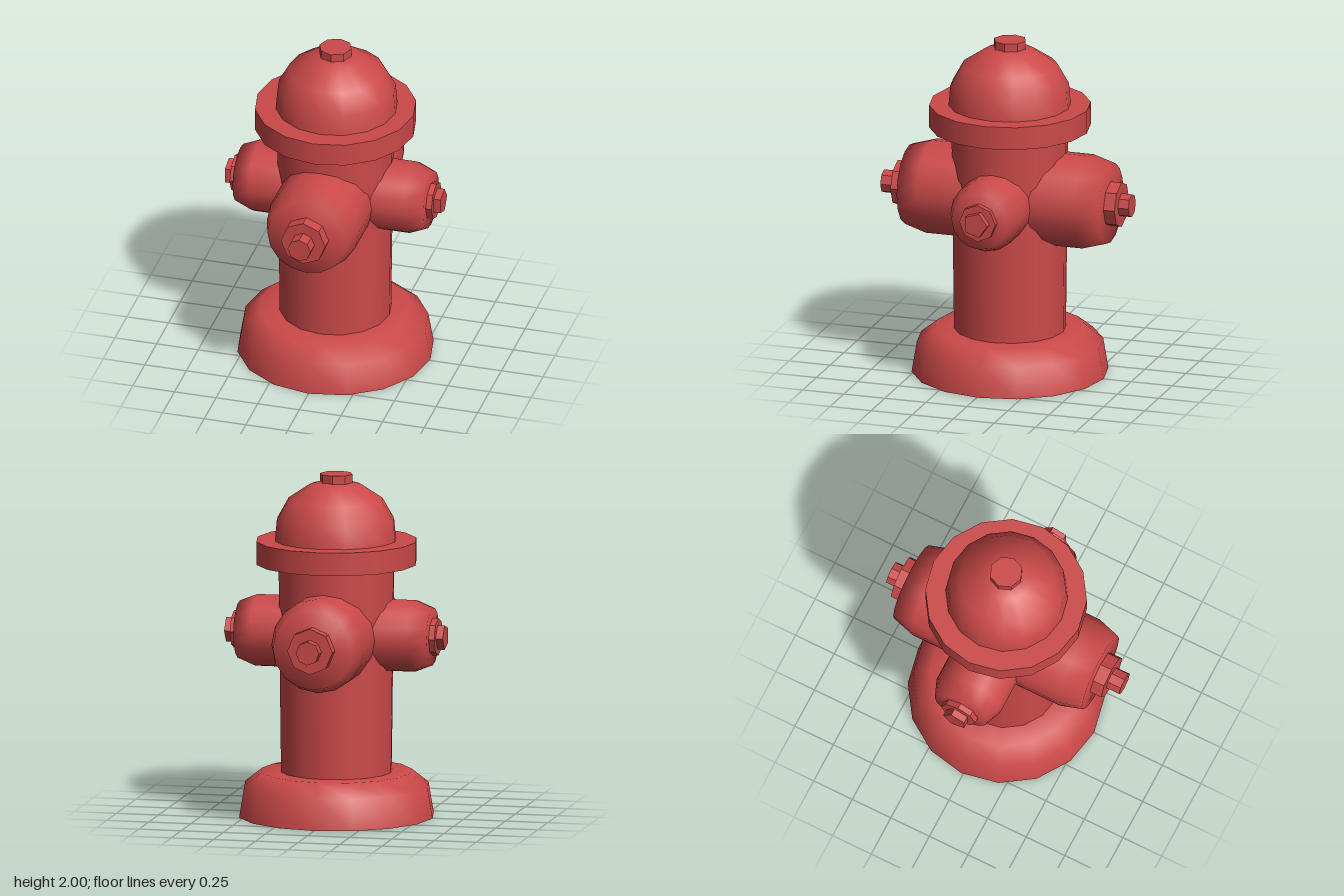
import * as THREE from 'three';

const SIDES = 16;
const AXIS_Z = -0.012; // the barrel sits slightly behind the middle
const NOZZLE_Y = 1.067;

export function createModel() {
  const red = new THREE.MeshStandardMaterial({ color: 0xcc4949 });
  red.name = 'hydrantRed';
  const hydrant = new THREE.Group();
  hydrant.name = 'hydrant';

  const add = (parent, name, geometry) => {
    const mesh = new THREE.Mesh(geometry, red);
    mesh.name = name;
    parent.add(mesh);
    return mesh;
  };

  // Smooth turned shape from [radius, height] pairs, bottom to top
  const turned = (points) =>
    new THREE.LatheGeometry(points.map(([r, y]) => new THREE.Vector2(r, y)), SIDES);

  // Faceted bolt between two heights
  const bolt = (radius, from, to, sides, start = 0) => {
    const g = new THREE.CylinderGeometry(radius, radius, to - from, sides, 1, false, start)
      .translate(0, (from + to) / 2, 0)
      .toNonIndexed();
    g.computeVertexNormals();
    return g;
  };

  const barrel = new THREE.Group();
  barrel.name = 'barrelAssembly';
  barrel.position.z = AXIS_Z;
  hydrant.add(barrel);

  // Foot with rounded shoulder and flat underside
  add(barrel, 'foot', turned([[0.57, 0], [0.54, 0.18], [0.44, 0.26], [0.28, 0.26]]));
  add(barrel, 'footUnderside', new THREE.CircleGeometry(0.57, SIDES).rotateX(Math.PI / 2));

  // Barrel, flange and bonnet
  add(barrel, 'body', turned([[0.324, 0.24], [0.339, 1.5]]));
  add(barrel, 'flange',
    new THREE.CylinderGeometry(0.468, 0.468, 0.135, SIDES).translate(0, 1.545, 0));
  const bonnet = add(barrel, 'bonnet', turned([
    [0.355, 1.6], [0.344, 1.73], [0.277, 1.85], [0.15, 1.935], [0.08, 1.955], [0, 1.96],
  ]));
  bonnet.position.x = 0.006;
  add(barrel, 'topNut', bolt(0.096, 1.93, 2, 8));

  // Nozzle pointing outwards along the yaw direction
  const addNozzle = (name, yaw, z, p) => {
    const nozzle = new THREE.Group();
    nozzle.name = name;
    nozzle.position.set(0, NOZZLE_Y, z);
    nozzle.rotation.y = yaw;
    hydrant.add(nozzle);
    const outward = (g) => g.rotateX(Math.PI / 2);
    add(nozzle, name + 'Cap', outward(turned([
      [p.radius, 0.1], [p.radius, p.shoulder], [p.endRadius, p.end], [0, p.end],
    ])));
    add(nozzle, name + 'Nut', outward(bolt(p.nutRadius, p.end - 0.03, p.nutEnd, 8, yaw)));
    add(nozzle, name + 'Stem',
      outward(bolt(p.stemRadius, p.nutEnd - 0.03, p.stemEnd, p.stemSides, yaw)));
  };

  const large = { radius: 0.275, endRadius: 0.235, nutRadius: 0.134, stemRadius: 0.069, stemSides: 8 };
  addNozzle('frontNozzle', 0, 0,
    { ...large, shoulder: 0.465, end: 0.6, nutEnd: 0.672, stemEnd: 0.755 });
  addNozzle('backNozzle', Math.PI, 0,
    { ...large, shoulder: 0.487, end: 0.625, nutEnd: 0.692, stemEnd: 0.755 });

  const small = { radius: 0.21, endRadius: 0.168, nutRadius: 0.11, stemRadius: 0.075, stemSides: 5 };
  for (const [name, side] of [['leftNozzle', 1], ['rightNozzle', -1]]) {
    addNozzle(name, side * Math.PI / 2, AXIS_Z - 0.003,
      { ...small, shoulder: 0.467, end: 0.572, nutEnd: 0.606, stemEnd: 0.648 });
  }

  return hydrant;
}
